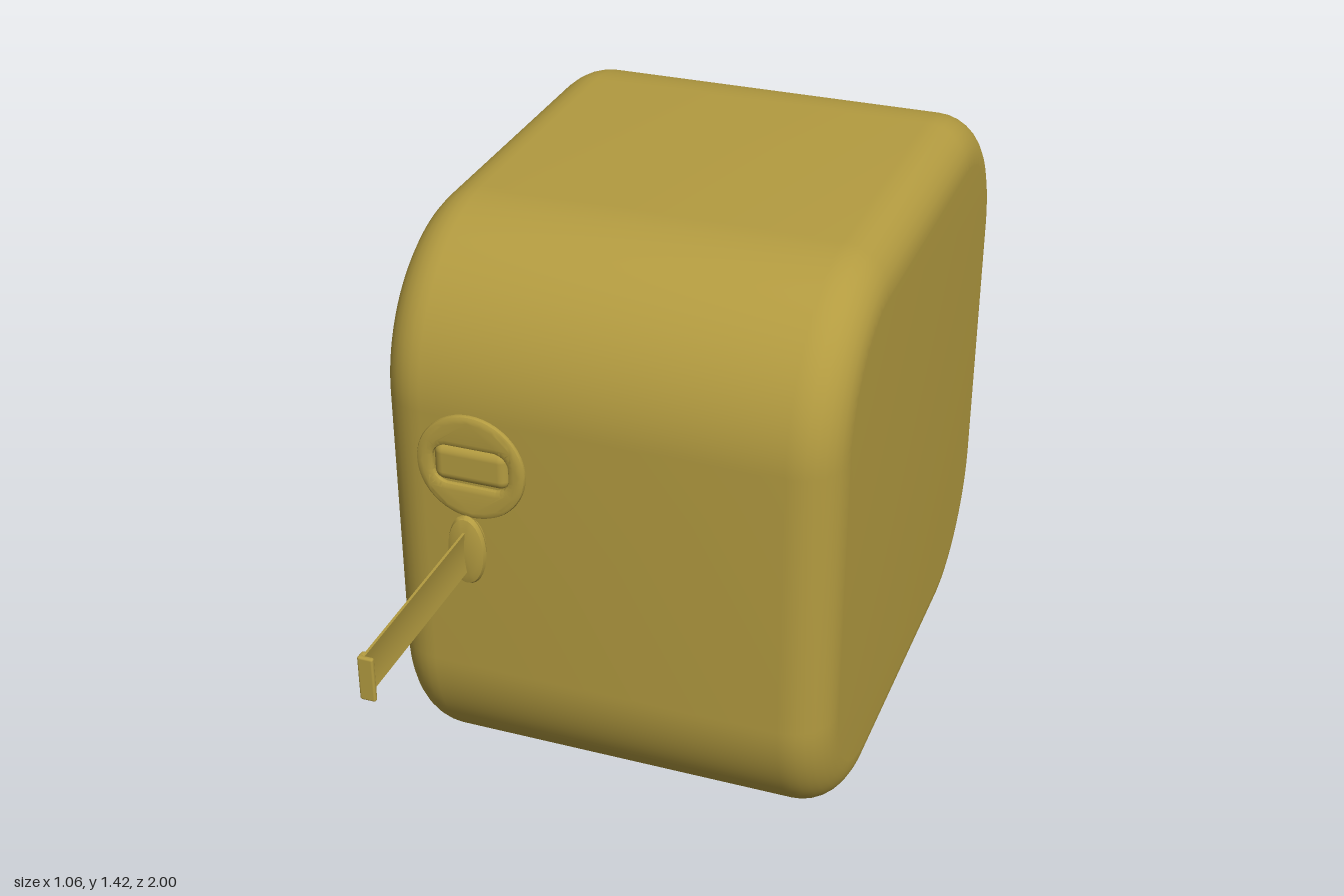
import * as THREE from 'three';
import { toCreasedNormals } from 'three/addons/utils/BufferGeometryUtils.js';
import { RoundedBoxGeometry } from 'three/addons/geometries/RoundedBoxGeometry.js';

// Rounded rectangle outline centred on the origin
function roundedRect(path, w, h, r) {
  const x = w / 2 - r, y = h / 2 - r;
  path.absarc(x, y, r, 0, Math.PI / 2);
  path.absarc(-x, y, r, Math.PI / 2, Math.PI);
  path.absarc(-x, -y, r, Math.PI, Math.PI * 1.5);
  path.absarc(x, -y, r, Math.PI * 1.5, Math.PI * 2);
  path.closePath();
  return path;
}

export function createModel() {
  const model = new THREE.Group();
  const ochre = new THREE.MeshStandardMaterial({ color: 0xb39b40 });
  ochre.name = 'ochre';

  function add(name, geometry, x, y, z) {
    const mesh = new THREE.Mesh(geometry, ochre);
    mesh.name = name;
    mesh.position.set(x, y, z);
    model.add(mesh);
    return mesh;
  }

  // Body: a rounded square swept across x with softened sides
  const bevel = 0.11;
  const body = new THREE.ExtrudeGeometry(
    roundedRect(new THREE.Shape(), 1.455 - 2 * bevel, 1.42 - 2 * bevel, 0.38 - bevel),
    { depth: 1.06 - 2 * bevel, bevelThickness: bevel, bevelSize: bevel, bevelSegments: 8, curveSegments: 16 }
  );
  body.translate(0, 0, -(1.06 - 2 * bevel) / 2);
  body.rotateY(Math.PI / 2);
  add('body', toCreasedNormals(body, 0.6), 0, 0.71, -0.2725);

  // Shallow round surround with a slot for the button
  const disc = new THREE.Shape().absarc(0, 0, 0.115, 0, Math.PI * 2);
  disc.holes.push(roundedRect(new THREE.Path(), 0.21, 0.125, 0.05));
  const surround = new THREE.ExtrudeGeometry(disc, {
    depth: 0.004, bevelThickness: 0.008, bevelSize: 0.015, bevelSegments: 3, curveSegments: 24
  });
  add('buttonSurround', toCreasedNormals(surround, 0.6), -0.3, 0.925, 0.455);

  // Push button
  add('button', new RoundedBoxGeometry(0.18, 0.095, 0.05, 4, 0.024), -0.3, 0.928, 0.443);

  // Oval collar where the blade enters the body
  const collar = new THREE.LatheGeometry([
    [0, -0.03], [0.75, -0.03], [0.75, 0.012], [0.93, 0.017], [1, 0.026], [0.93, 0.036], [0.7, 0.041], [0, 0.041]
  ].map(([r, y]) => new THREE.Vector2(r, y)), 28);
  collar.rotateX(Math.PI / 2);
  collar.scale(0.046, 0.09, 1);
  add('collar', toCreasedNormals(collar.toNonIndexed(), 0.6), -0.308, 0.722, 0.455);

  // Thin tape blade, slightly dished across its width, with a folded hook tip
  const half = 0.052;
  const section = new THREE.Shape();
  section.moveTo(-0.001, -half);
  section.quadraticCurveTo(-0.011, 0, -0.001, half);
  section.lineTo(0.005, half);
  section.quadraticCurveTo(-0.004, 0, 0.005, -half);
  section.closePath();
  const blade = new THREE.ExtrudeGeometry(section, { depth: 0.53, bevelEnabled: false, curveSegments: 8 });
  add('tapeBlade', toCreasedNormals(blade, 0.6), -0.31, 0.722, 0.46);

  add('hookTip', new RoundedBoxGeometry(0.036, 0.108, 0.012, 2, 0.005), -0.301, 0.722, 0.994);
  add('hookPlate', new RoundedBoxGeometry(0.012, 0.108, 0.026, 2, 0.005), -0.313, 0.722, 0.987);

  return model;
}
